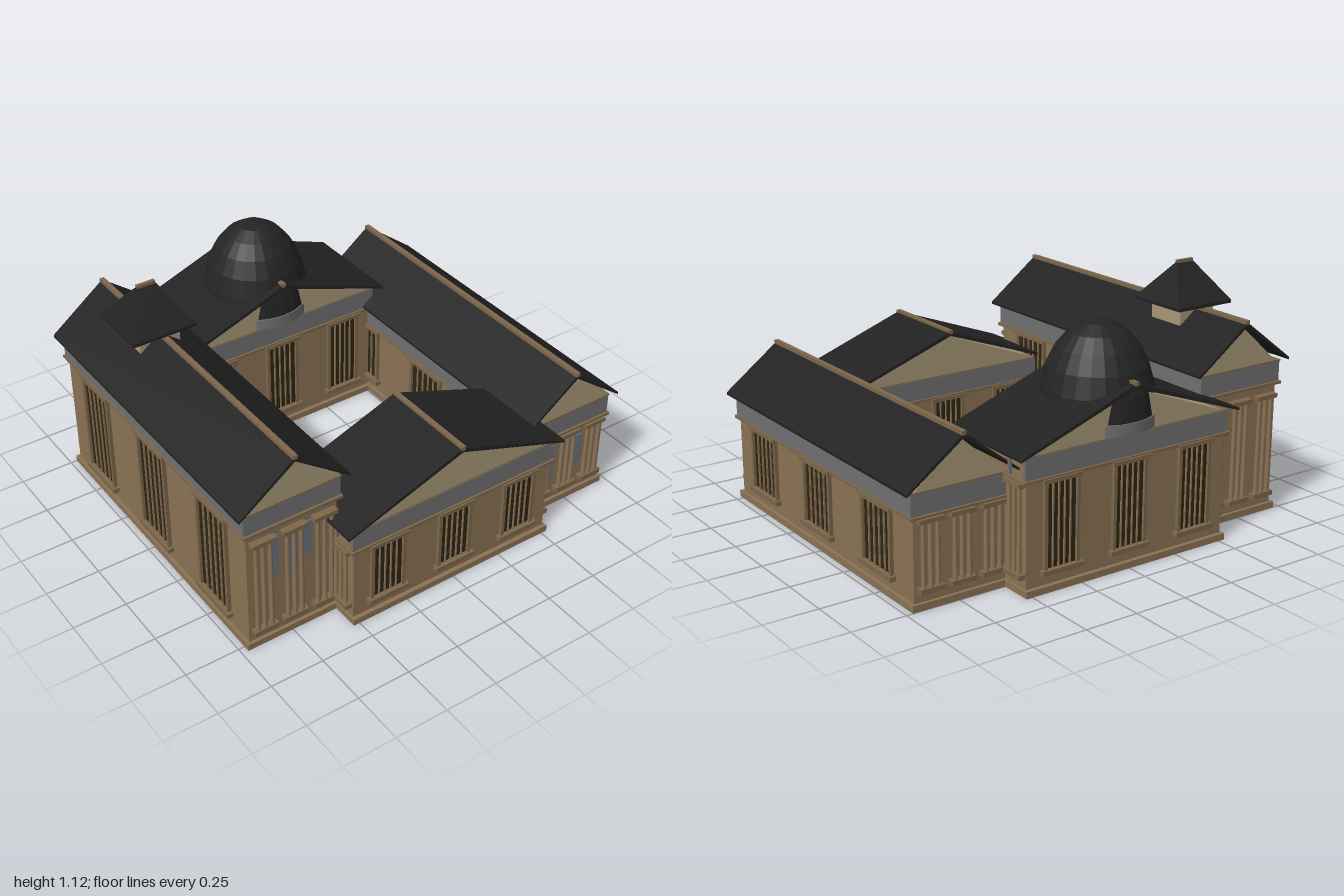
import * as THREE from 'three';

const mat = (name, color, flatShading = false) => {
  const m = new THREE.MeshStandardMaterial({ color, flatShading });
  m.name = name;
  return m;
};

export function createModel() {
  const stone = mat('wall stone', 0x8b7355);
  const trim = mat('trim stone', 0x7d674b);
  const pale = mat('gable plaster', 0xa89878);
  const grey = mat('frieze grey', 0x707070);
  const slate = mat('panel slate', 0x6c7480);
  const roofing = mat('roof black', 0x222222);
  const domeMat = mat('dome black', 0x242424, true);
  const dark = mat('window dark', 0x2e2412);
  const model = new THREE.Group();
  model.name = 'courtyardBuilding';

  const add = (parent, name, geo, m, x = 0, y = 0, z = 0) => {
    const mesh = new THREE.Mesh(geo, m);
    mesh.name = name;
    mesh.position.set(x, y, z);
    parent.add(mesh);
    return mesh;
  };
  // box placed by the height of its underside
  const box = (parent, name, m, w, h, d, x, y, z) =>
    add(parent, name, new THREE.BoxGeometry(w, h, d), m, x, y + h / 2, z);
  // polygon in x,y extruded along z about a centre
  const prism = (parent, name, m, pts, depth, x, z) => {
    const shape = new THREE.Shape(pts.map(p => new THREE.Vector2(...p)));
    const geo = new THREE.ExtrudeGeometry(shape, { depth, bevelEnabled: false });
    geo.translate(0, 0, -depth / 2);
    return add(parent, name, geo, m, x, 0, z);
  };
  const facing = (parent, name, x, z, turn) => {
    const g = new THREE.Group();
    g.name = name;
    g.position.set(x, 0, z);
    g.rotation.y = turn;
    parent.add(g);
    return g;
  };

  // barred window facing +z before it is turned
  function addWindow(parent, x, z, turn, width, top) {
    const g = facing(parent, 'window', x, z, turn);
    const h = top - 0.1;
    box(g, 'windowPane', dark, width, h, 0.006, 0, 0.1, 0.002);
    for (const s of [-1, 1]) box(g, 'windowJamb', trim, 0.016, h, 0.022, s * (width / 2 + 0.008), 0.1, 0.006);
    box(g, 'windowSill', trim, width + 0.06, 0.022, 0.036, 0, 0.078, 0.01);
    box(g, 'windowLintel', trim, width + 0.05, 0.018, 0.03, 0, top, 0.01);
    for (let i = 1; i < 5; i++) box(g, 'windowBar', stone, 0.006, h, 0.012, width * (i / 5 - 0.5), 0.1, 0.006);
  }

  // cluster of three slim columns on a common plinth
  function addColumns(parent, x, z, turn, top) {
    const g = facing(parent, 'columnCluster', x, z, turn);
    box(g, 'columnPlinth', trim, 0.115, 0.022, 0.04, 0, 0.075, 0.012);
    box(g, 'columnCapital', trim, 0.115, 0.02, 0.04, 0, top - 0.02, 0.012);
    const h = top - 0.117;
    for (const i of [-1, 0, 1])
      add(g, 'column', new THREE.CylinderGeometry(0.009, 0.011, h, 12), stone, i * 0.034, 0.097 + h / 2, 0.016);
  }

  // gabled roof: chevron slab, pediment and ridge cap
  function addRoof(g, half, eave, ridge, length, x, z, pedHalf, pedDepth) {
    const t = 0.02;
    prism(g, 'roof', roofing,
      [[-half, eave], [0, ridge - t], [half, eave], [half, eave + t * 0.6], [0, ridge], [-half, eave + t * 0.6]], length, x, z);
    prism(g, 'pediment', pale, [[-pedHalf, eave], [pedHalf, eave], [0, ridge - 0.025]], pedDepth, x, z);
    box(g, 'ridgeCap', trim, 0.022, 0.018, length + 0.004, x, ridge - 0.01, z);
  }

  // side wings; the right-hand one from the front is lower
  function sideWing(s, wallTop) {
    const g = new THREE.Group();
    g.name = s > 0 ? 'leftWing' : 'rightWing';
    model.add(g);
    const x = s * 0.737, z = 0.015, hw = 0.218, hd = 0.75;
    box(g, 'wingBase', stone, 0.466, 0.03, 2 * hd + 0.03, x, 0, z);
    box(g, 'wingWall', stone, 2 * hw, wallTop, 2 * hd, x, 0.001, z);
    box(g, 'wingCornice', trim, 0.474, 0.013, 2 * hd + 0.04, x, wallTop - 0.008, z);
    box(g, 'wingFrieze', grey, 0.462, 0.095, 2 * hd + 0.016, x, wallTop + 0.005, z);
    box(g, 'friezeCap', trim, 0.468, 0.006, 2 * hd + 0.024, x, wallTop + 0.098, z);
    addRoof(g, 0.263, wallTop + 0.103, wallTop + 0.315, 1.57, x, z, 0.21, 2 * hd);
    for (const side of [-1, 1])
      for (const wz of [0.515, 0.025, -0.47])
        addWindow(g, x + side * hw, wz, side * Math.PI / 2, 0.2, wallTop - 0.02);
    for (const end of [-1, 1])
      for (const i of [-1, 0, 1])
        addColumns(g, x + i * 0.148, z + end * hd, end > 0 ? 0 : Math.PI, wallTop - (wallTop > 0.5 ? 0.045 : 0.005));
    // slate panels behind the front columns
    for (const [dx, w, drop] of [[-0.085, 0.035, 0.27], [0, 0.05, 0.3], [0.07, 0.05, 0.23]])
      box(g, 'frontPanel', slate, w, drop - 0.06, 0.006, x + dx, wallTop - drop, z + hd + 0.004);
  }
  sideWing(-1, 0.605);
  sideWing(1, 0.395);

  // front and back wings
  function endWing(name, z0, z1, wallTop) {
    const g = new THREE.Group();
    g.name = name;
    model.add(g);
    const z = (z0 + z1) / 2, d = z1 - z0;
    box(g, 'wingBase', stone, 1.06, 0.03, d + 0.04, 0, 0, z);
    box(g, 'wingWall', stone, 1.04, wallTop, d, 0, 0.001, z);
    box(g, 'wingCornice', trim, 1.08, 0.013, d + 0.035, 0, wallTop - 0.008, z);
    for (const end of [-1, 1]) {
      const face = z + end * d / 2;
      const turn = end > 0 ? 0 : Math.PI;
      box(g, 'wingFrieze', grey, 1.06, 0.095, 0.015, 0, wallTop + 0.004, face);
      for (const wx of [-0.35, 0, 0.35]) addWindow(g, wx, face, turn, 0.145, wallTop - 0.02);
    }
    const outer = Math.sign(z);
    for (const s of [-1, 1]) {
      addColumns(g, s * 0.52, outer * 0.82, s * Math.PI / 2, wallTop - 0.005);
      box(g, 'friezePost', grey, 0.014, 0.095, 0.014, s * 0.525, wallTop + 0.004, outer * 0.775);
    }
    box(g, 'friezeCeiling', trim, 1.07, 0.006, d + 0.01, 0, wallTop + 0.097, z);
    addRoof(g, 0.57, wallTop + 0.1, wallTop + 0.32, d + 0.075, 0, z, 0.515, d);
    return g;
  }
  endWing('frontWing', 0.492, 0.888, 0.395);
  const back = endWing('backWing', -0.88, -0.442, 0.492);

  // dome on a grey drum
  add(back, 'domeDrum', new THREE.CylinderGeometry(0.256, 0.256, 0.05, 24), grey, 0, 0.622, -0.66);
  const dome = add(back, 'dome',
    new THREE.SphereGeometry(1, 24, 6, 0, Math.PI * 2, 0, Math.PI / 2), domeMat, 0, 0.647, -0.66);
  dome.scale.set(0.25, 0.383, 0.25);

  // roof turret with a hipped cap
  const turret = new THREE.Group();
  turret.name = 'turret';
  turret.position.set(-0.737, 0, -0.345);
  model.add(turret);
  box(turret, 'turretBody', pale, 0.195, 0.17, 0.195, 0, 0.765, 0);
  box(turret, 'turretEave', roofing, 0.306, 0.014, 0.306, 0, 0.928, 0);
  const hip = new THREE.BoxGeometry(0.306, 0.17, 0.306);
  const p = hip.attributes.position;
  for (let i = 0; i < p.count; i++)
    if (p.getY(i) > 0) p.setXYZ(i, Math.sign(p.getX(i)) * 0.045, p.getY(i), Math.sign(p.getZ(i)) * 0.004);
  hip.computeVertexNormals();
  add(turret, 'turretRoof', hip, roofing, 0, 1.027, 0);
  box(turret, 'turretRidge', trim, 0.088, 0.016, 0.016, 0, 1.106, 0);

  return model;
}
